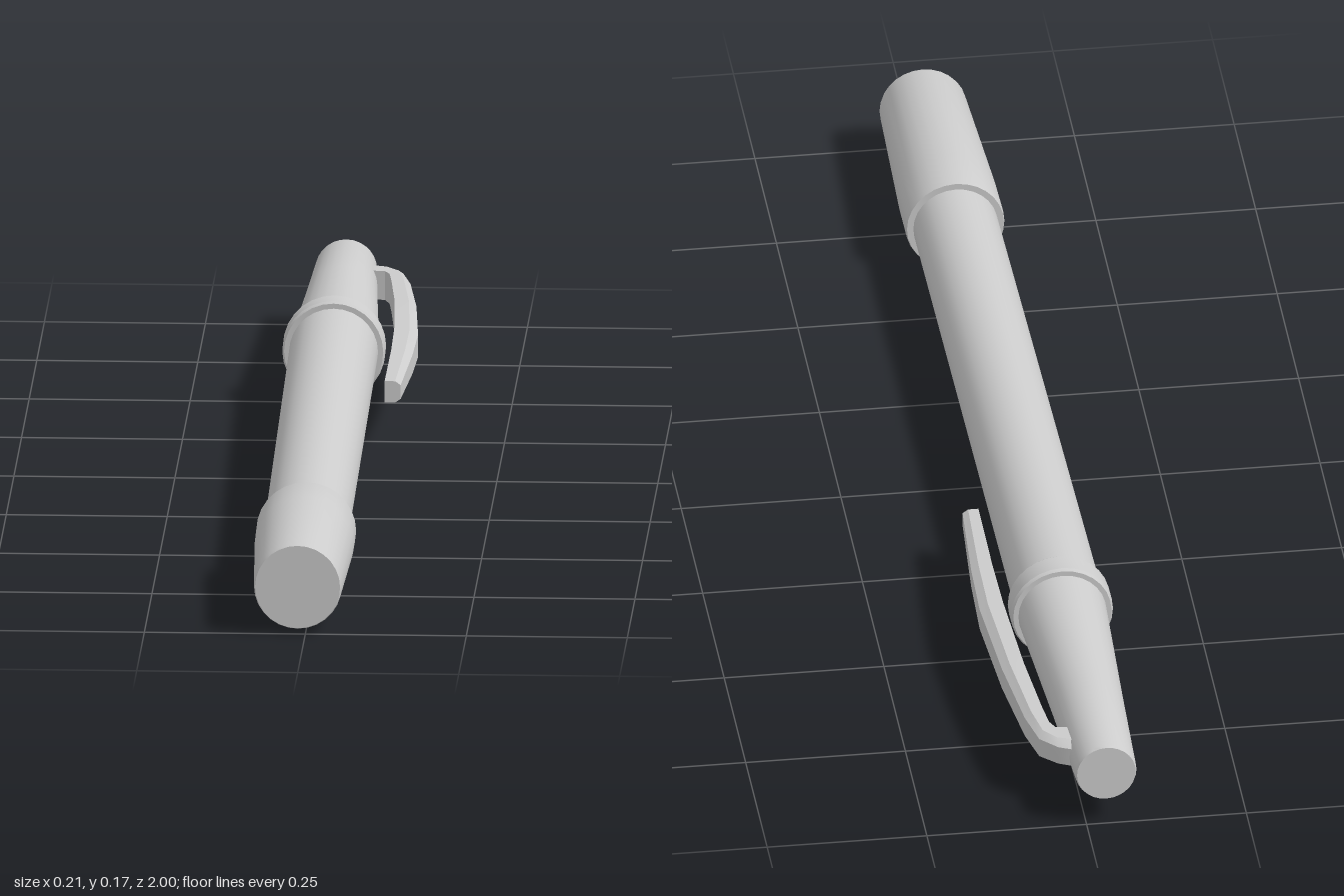
import * as THREE from 'three';
import { toCreasedNormals } from 'three/addons/utils/BufferGeometryUtils.js';

const material = new THREE.MeshStandardMaterial({ color: 0xcccccc });

// Round part along z from [radius, z] pairs, back to front
function turned(name, profile) {
  const points = profile.map(([r, z]) => new THREE.Vector2(r, z));
  const geometry = new THREE.LatheGeometry(points, 28).rotateX(Math.PI / 2);
  const mesh = new THREE.Mesh(toCreasedNormals(geometry, 0.5), material);
  mesh.name = name;
  return mesh;
}

// Curved clip: a strip with bevelled outer edges, lofted through its stations
function makeClip() {
  // [inner x, inner z, outer x, outer z, half width, centre y]
  const stations = [
    [0.01, -0.895, 0.01, -0.95, 0.023, 0.093],
    [0.034, -0.892, 0.036, -0.938, 0.023, 0.093],
    [0.042, -0.875, 0.062, -0.91, 0.024, 0.092],
    [0.047, -0.83, 0.076, -0.845, 0.025, 0.091],
    [0.058, -0.7, 0.092, -0.7, 0.027, 0.09],
    [0.066, -0.52, 0.103, -0.52, 0.027, 0.089],
    [0.067, -0.4, 0.1, -0.4, 0.023, 0.089],
    [0.065, -0.225, 0.09, -0.225, 0.017, 0.088],
  ];
  const section = [[0, -1], [0.65, -1], [1, -0.65], [1, 0.65], [0.65, 1], [0, 1]];
  const rings = stations.map(([xi, zi, xo, zo, w, y]) =>
    section.map(([t, v]) => [xi + (xo - xi) * t, y + v * w, zi + (zo - zi) * t]));
  const n = section.length;
  const positions = [];
  const tri = (a, b, c) => positions.push(...a, ...b, ...c);
  for (let i = 0; i < rings.length - 1; i++) {
    for (let j = 0; j < n; j++) {
      const k = (j + 1) % n;
      const [a, b, c, d] = [rings[i][j], rings[i][k], rings[i + 1][k], rings[i + 1][j]];
      tri(a, b, c);
      tri(a, c, d);
    }
  }
  const first = rings[0], last = rings[rings.length - 1];
  for (let j = 1; j < n - 1; j++) {
    tri(last[0], last[j], last[j + 1]);
    tri(first[0], first[j + 1], first[j]);
  }
  const geometry = new THREE.BufferGeometry();
  geometry.setAttribute('position', new THREE.Float32BufferAttribute(positions, 3));
  const mesh = new THREE.Mesh(toCreasedNormals(geometry, 0.4), material);
  mesh.name = 'clip';
  return mesh;
}

export function createModel() {
  const model = new THREE.Group();
  model.name = 'pen';

  // Turned parts share one slightly tilted axis
  const shaft = new THREE.Group();
  shaft.name = 'shaft';
  shaft.add(
    turned('barrel', [[0, -0.5], [0.069, -0.5], [0.066, 0.66], [0, 0.66]]),
    turned('rearCap', [[0, -1], [0.046, -1], [0.048, -0.994], [0.056, -0.8], [0.07, -0.5], [0, -0.5]]),
    turned('ring', [[0.06, -0.522], [0.077, -0.522], [0.08, -0.517], [0.08, -0.482], [0.077, -0.477], [0.06, -0.477]]),
    turned('frontCap', [[0.06, 0.64], [0.076, 0.64], [0.0775, 0.645], [0.077, 0.73], [0.068, 0.994], [0.066, 1], [0, 1]]),
  );
  shaft.position.set(-0.0215, 0.085, 0);
  shaft.lookAt(-0.012, 0.077, 1);

  model.add(shaft, makeClip());
  return model;
}
